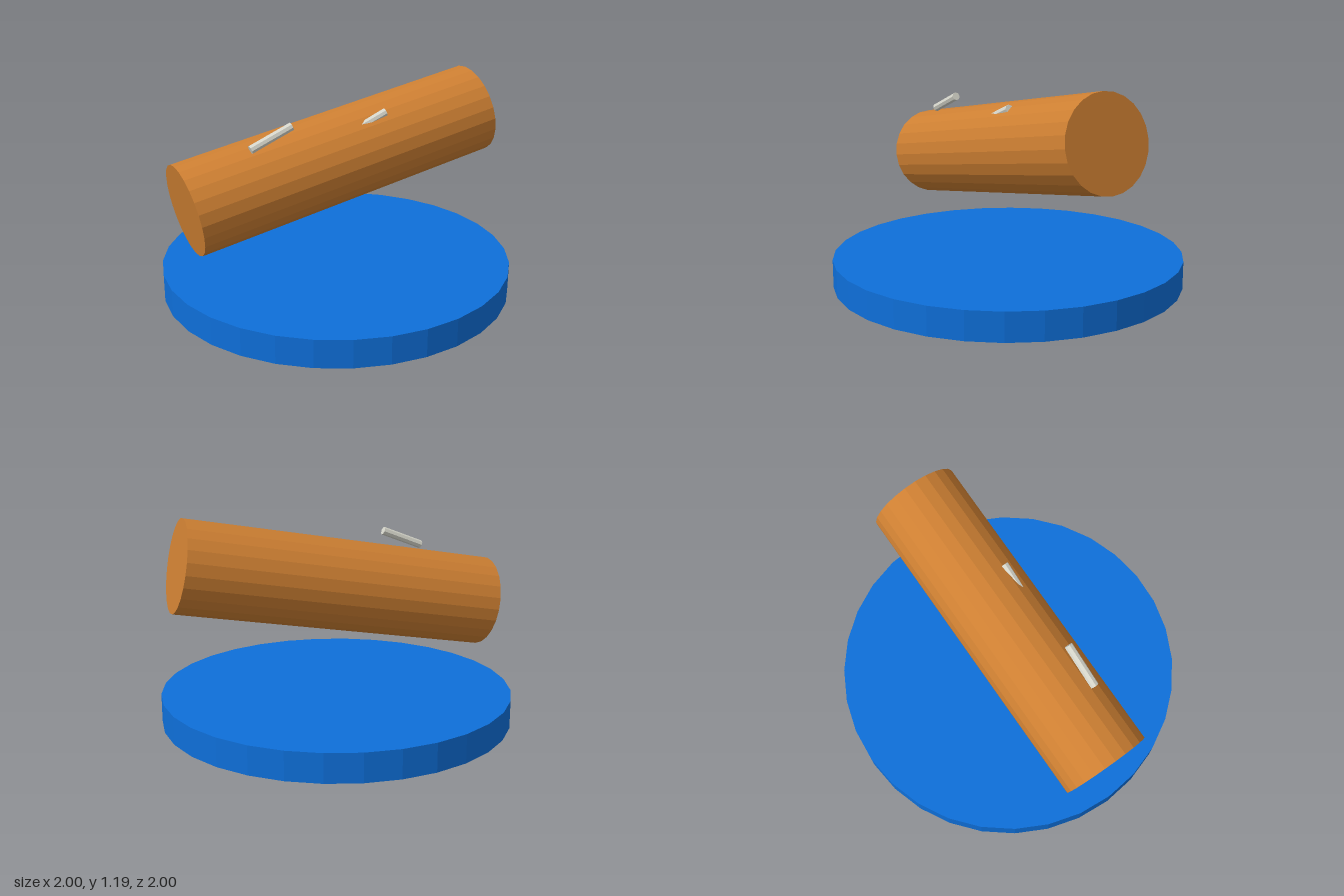
import * as THREE from 'three';

export function createModel() {
  const model = new THREE.Group();

  const material = (name, color) => {
    const m = new THREE.MeshStandardMaterial({ color, flatShading: true });
    m.name = name;
    return m;
  };
  const blue = material('blue', 0x0e6fd9);
  const bronze = material('bronze', 0xcd7f32);
  const paleGrey = material('pale grey', 0xd6d6cb);

  const addCylinder = (name, mat, radius, length, sides, position) => {
    const mesh = new THREE.Mesh(new THREE.CylinderGeometry(radius, radius, length, sides), mat);
    mesh.name = name;
    mesh.position.set(...position);
    model.add(mesh);
    return mesh;
  };

  // Round disc standing on the ground
  addCylinder('base', blue, 1, 0.16, 32, [0, 0.08, 0]);

  // Tilted barrel floating above the base, its +x end raised
  const barrel = addCylinder('barrel', bronze, 0.258, 1.825, 24, [0, 0.768, 0]);
  barrel.rotation.z = 0.18 - Math.PI / 2;

  // Two small pins on the front upper side, the second mostly sunk in
  for (const [name, x] of [['rightPin', -0.455], ['leftPin', 0.115]]) {
    const pin = addCylinder(name, paleGrey, 0.0235, 0.255, 8, [x, 0.983, 0.142]);
    pin.rotation.z = 0.38 - Math.PI / 2;
  }

  return model;
}
